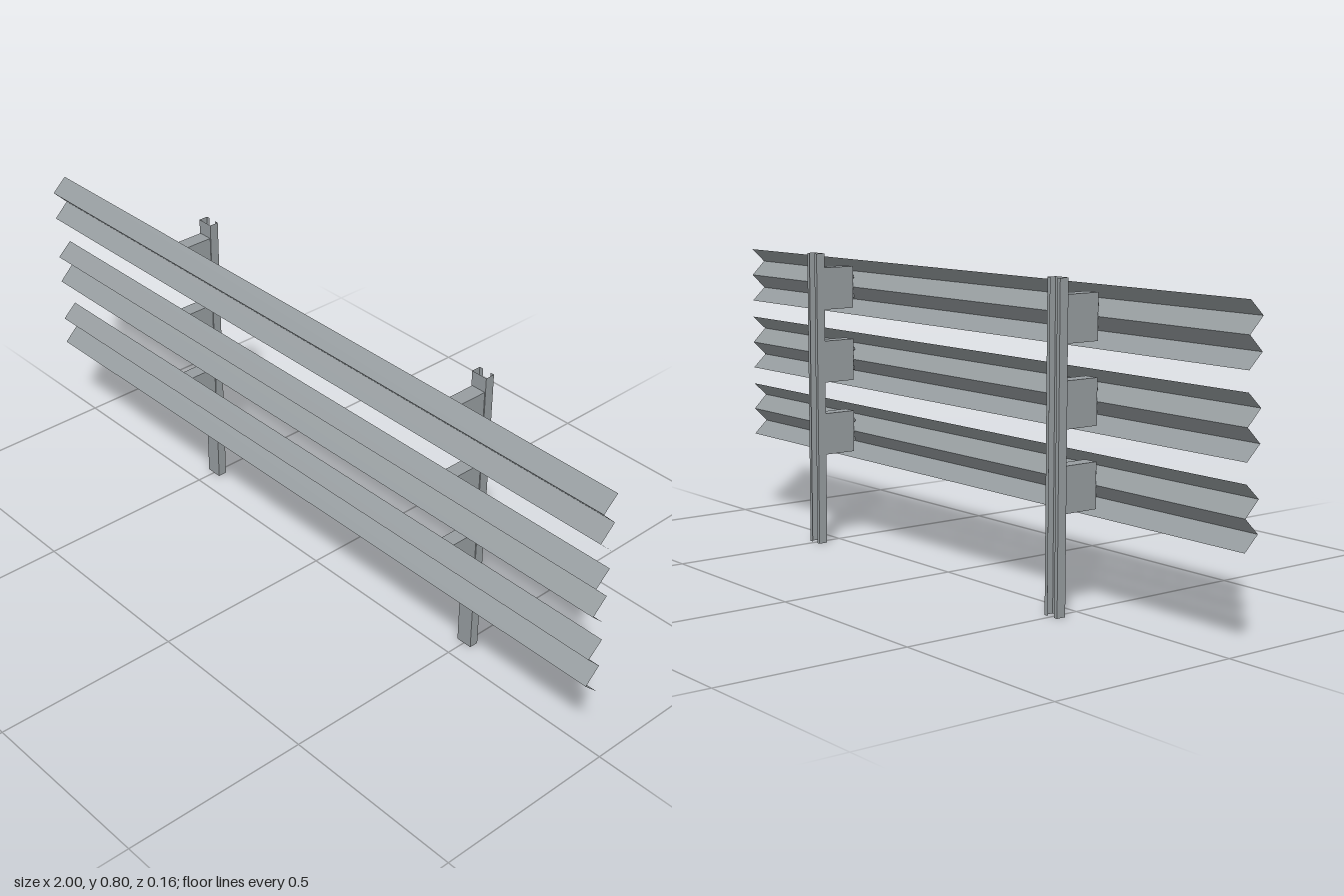
import * as THREE from 'three';

// Thin folded sheet: a polyline of [a, b] points swept from 0 to length along local z
function foldedSheet(points, length) {
  const pos = [];
  for (let i = 0; i < points.length - 1; i++) {
    const [ax, ay] = points[i];
    const [bx, by] = points[i + 1];
    pos.push(ax, ay, 0, bx, by, 0, bx, by, length);
    pos.push(ax, ay, 0, bx, by, length, ax, ay, length);
  }
  const g = new THREE.BufferGeometry();
  g.setAttribute('position', new THREE.Float32BufferAttribute(pos, 3));
  g.computeVertexNormals();
  return g;
}

export function createModel() {
  const model = new THREE.Group();
  model.name = 'guardRail';
  const steel = new THREE.MeshStandardMaterial({ color: 0x979da0, side: THREE.DoubleSide, flatShading: true });
  steel.name = 'galvanisedSteel';

  const add = (parent, name, geometry, x, y, z) => {
    const mesh = new THREE.Mesh(geometry, steel);
    mesh.name = name;
    mesh.position.set(x, y, z);
    parent.add(mesh);
  };

  // W-shaped rail: profile as [-z, y] swept along z, then turned to run along x
  const railGeo = foldedSheet(
    [[-0.04, 0.076], [-0.08, 0.039], [-0.04, 0], [-0.08, -0.039], [-0.04, -0.076]], 2);
  railGeo.rotateY(Math.PI / 2);

  // Lipped channel post, open to the back: profile as [x, -z] swept upright
  const postGeo = foldedSheet(
    [[-0.012, 0.08], [-0.0225, 0.08], [-0.0225, 0.055],
      [0.0225, 0.055], [0.0225, 0.08], [0.012, 0.08]], 0.8);
  postGeo.rotateX(-Math.PI / 2);

  const blockGeo = new THREE.BoxGeometry(0.04, 0.114, 0.095);
  const boltGeo = new THREE.CylinderGeometry(0.006, 0.006, 0.015, 6);
  boltGeo.rotateX(Math.PI / 2);

  const heights = [0.304, 0.504, 0.704];
  for (const y of heights) add(model, 'rail', railGeo, -1, y, 0);

  // Posts with a spacer block and two bolts behind every rail
  for (const x of [-0.5, 0.5]) {
    const support = new THREE.Group();
    support.name = x > 0 ? 'leftSupport' : 'rightSupport';
    support.position.x = x;
    add(support, 'post', postGeo, 0, 0, 0);
    for (const y of heights) {
      add(support, 'spacerBlock', blockGeo, 0, y, -0.0075);
      for (const dy of [-0.027, 0.027]) add(support, 'bolt', boltGeo, 0, y + dy, 0.0475);
    }
    model.add(support);
  }
  return model;
}
